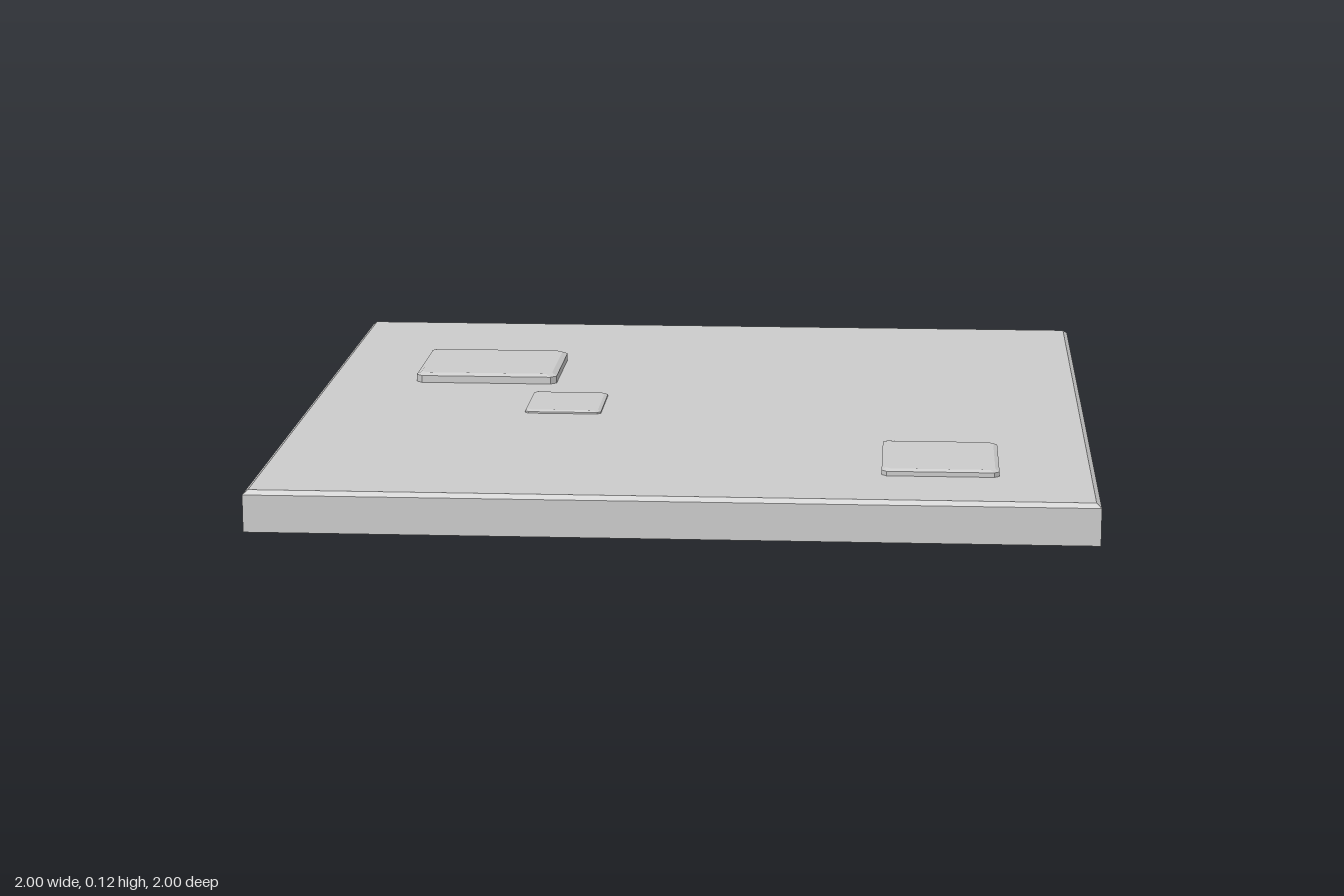
import * as THREE from 'three';

const material = new THREE.MeshStandardMaterial({
  color: 0xcccccc, flatShading: true, side: THREE.DoubleSide,
});

// Open-bottomed shell: stacked rings of [x, y, z] from the bottom up, closed by a flat cap.
function shell(name, rings) {
  const positions = [];
  const n = rings[0].length;
  const triangle = (a, b, c) => positions.push(...a, ...b, ...c);
  for (let r = 0; r < rings.length - 1; r++) {
    for (let i = 0; i < n; i++) {
      const j = (i + 1) % n;
      const [lo, hi] = [rings[r], rings[r + 1]];
      triangle(lo[i], lo[j], hi[j]);
      triangle(lo[i], hi[j], hi[i]);
    }
  }
  const top = rings[rings.length - 1];
  for (let i = 1; i < n - 1; i++) triangle(top[0], top[i], top[i + 1]);
  const geometry = new THREE.BufferGeometry();
  geometry.setAttribute('position', new THREE.Float32BufferAttribute(positions, 3));
  geometry.computeVertexNormals();
  const mesh = new THREE.Mesh(geometry, material);
  mesh.name = name;
  return mesh;
}

// Square ring, counter-clockwise seen from above.
const square = (h, y) => [[-h, y, h], [h, y, h], [h, y, -h], [-h, y, -h]];

// Clipped-corner pad outline with a slight kink at the back left.
function padRing(x0, x1, z0, z1, y, clip, kink, inset) {
  const [l, r, b, f] = [x0 + inset, x1 - inset, z0 + inset, z1 - inset];
  return [
    [l, y, f - clip], [l + clip, y, f], [r - clip, y, f], [r, y, f - clip],
    [r, y, b + clip], [r - clip, y, b], [l + (r - l) * 0.48, y, b],
    [l + clip, y, b - kink], [l, y, b],
  ];
}

// Pad whose walls run down through the slab's top skin.
function pad(name, x0, x1, z0, z1, bottom, top, bevel) {
  const clip = bevel * 1.2;
  return shell(name, [
    padRing(x0, x1, z0, z1, bottom, clip, 0.014, 0),
    padRing(x0, x1, z0, z1, top - bevel * 0.5, clip, 0.014, 0),
    padRing(x0, x1, z0, z1, top, clip, 0, bevel),
  ]);
}

export function createModel() {
  const group = new THREE.Group();
  group.name = 'slabWithPads';

  // Hollow slab with a narrow chamfer around its top
  group.add(shell('slab', [square(1, 0), square(1, 0.09), square(0.988, 0.1)]));

  // Raised pads
  group.add(pad('largePad', -0.76, -0.385, -0.515, -0.19, 0.05, 0.125, 0.013));
  group.add(pad('smallPad', -0.43, -0.235, -0.07, 0.155, 0.073, 0.108, 0.008));
  group.add(pad('mediumPad', 0.49, 0.77, 0.458, 0.76, 0.06, 0.116, 0.01));
  return group;
}
